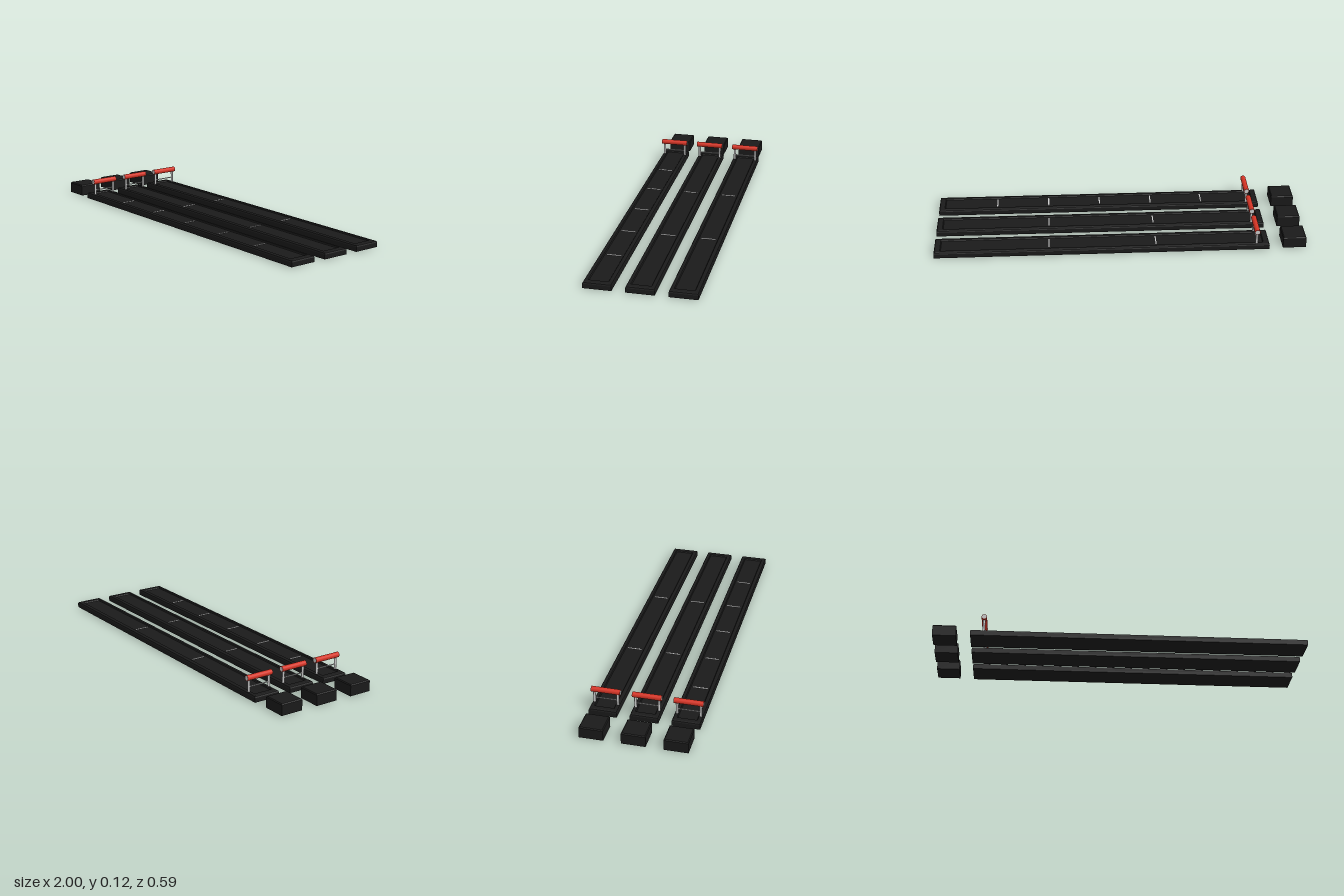
import * as THREE from 'three';

const black = new THREE.MeshStandardMaterial({ color: 0x1a1a1a, flatShading: true });
const red = new THREE.MeshStandardMaterial({ color: 0xd63425 });
const grey = new THREE.MeshStandardMaterial({ color: 0xcccccc });

// Closed solid from stacked rectangular loops [halfX, halfZ, y], listed from the underside up and inwards
function stackedRects(loops) {
  const pos = [];
  const corner = ([hx, hz, y], i) => [[hx, y, hz], [hx, y, -hz], [-hx, y, -hz], [-hx, y, hz]][i % 4];
  const quad = (a, b, c, d) => pos.push(...a, ...b, ...c, ...a, ...c, ...d);
  const first = loops[0], last = loops[loops.length - 1];
  quad(corner(first, 3), corner(first, 2), corner(first, 1), corner(first, 0));
  for (let k = 0; k < loops.length - 1; k++) {
    for (let i = 0; i < 4; i++) {
      quad(corner(loops[k], i), corner(loops[k], i + 1), corner(loops[k + 1], i + 1), corner(loops[k + 1], i));
    }
  }
  quad(corner(last, 0), corner(last, 1), corner(last, 2), corner(last, 3));
  const geo = new THREE.BufferGeometry();
  geo.setAttribute('position', new THREE.Float32BufferAttribute(pos, 3));
  geo.computeVertexNormals();
  return geo;
}

function add(group, name, geo, mat, x, y, z) {
  const mesh = new THREE.Mesh(geo, mat);
  mesh.name = name;
  mesh.position.set(x, y, z);
  group.add(mesh);
  return mesh;
}

function makeHandle() {
  const handle = new THREE.Group();
  handle.name = 'handle';
  const bar = (name, r, len, mat, y) => {
    add(handle, name, new THREE.CylinderGeometry(r, r, len, 24), mat, 0, y, 0).rotation.x = Math.PI / 2;
  };
  bar('grip', 0.0145, 0.153, red, 0.11);
  bar('gripCore', 0.012, 0.1545, grey, 0.11);
  bar('crossbar', 0.003, 0.124, grey, 0.061);
  for (const side of [-1, 1]) {
    add(handle, 'handleLeg', new THREE.CylinderGeometry(0.0065, 0.0065, 0.08, 16), grey, 0, 0.065, side * 0.0615);
  }
  return handle;
}

export function createModel() {
  const model = new THREE.Group();
  model.name = 'sliderPanel';

  // Bevelled rail with a shallow tray in its top
  const railGeo = stackedRects([
    [0.89, 0.064, 0], [0.9, 0.074, 0.002], [0.9, 0.074, 0.026], [0.897, 0.071, 0.032],
    [0.89, 0.065, 0.035], [0.868, 0.053, 0.035], [0.864, 0.049, 0.029],
  ]);
  const blockGeo = stackedRects([
    [0.0625, 0.0625, 0], [0.0625, 0.0625, 0.056], [0.058, 0.058, 0.061],
  ]);
  const tickGeo = new THREE.BoxGeometry(0.006, 0.003, 0.076);

  const rows = [
    { z: -0.216, ticks: [-0.19, 0.385] },
    { z: 0, ticks: [-0.19, 0.385] },
    { z: 0.216, ticks: [-0.477, -0.19, 0.098, 0.385, 0.673] },
  ];
  for (const { z, ticks } of rows) {
    const row = new THREE.Group();
    row.name = 'sliderRow';
    row.position.z = z;
    add(row, 'rail', railGeo, black, 0.1, 0, 0);
    add(row, 'endBlock', blockGeo, black, -0.9375, 0, 0);
    for (const x of ticks) add(row, 'tickMark', tickGeo, grey, x, 0.0295, 0);
    const handle = makeHandle();
    handle.position.x = -0.73;
    row.add(handle);
    model.add(row);
  }
  return model;
}
